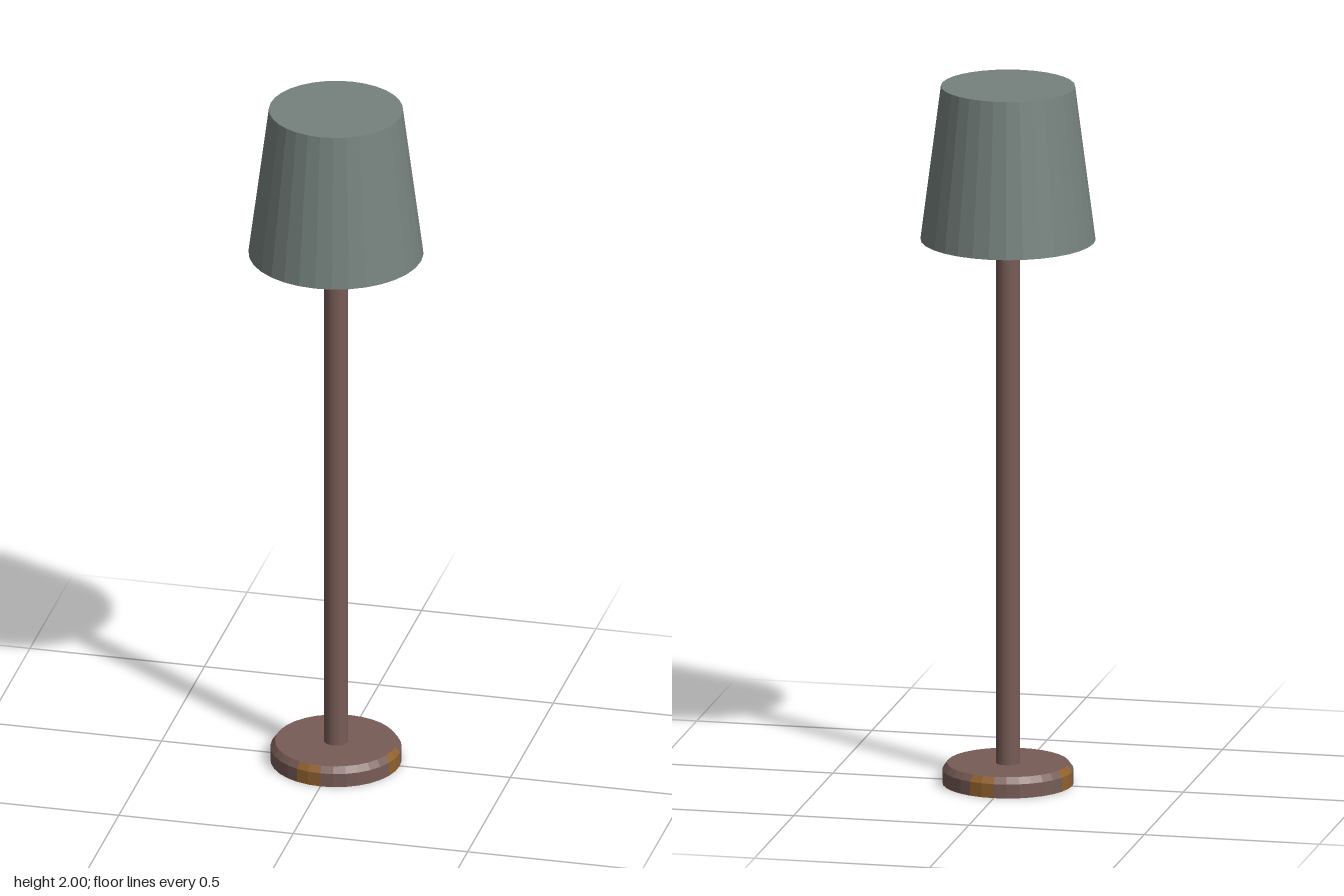
import * as THREE from 'three';

const SIDES = 32;

const material = (name, color) => {
  const m = new THREE.MeshStandardMaterial({ color, flatShading: true });
  m.name = name;
  return m;
};

// Lathe over a profile of [radius, height] pairs, optionally only a few facets
function turned(name, profile, mat, firstFacet = 0, facets = SIDES) {
  const step = (Math.PI * 2) / SIDES;
  const points = profile.map(([r, y]) => new THREE.Vector2(r, y));
  const mesh = new THREE.Mesh(
    new THREE.LatheGeometry(points, facets, firstFacet * step, facets * step), mat);
  mesh.name = name;
  return mesh;
}

export function createModel() {
  const shadeGrey = material('shade grey', 0x76827e);
  const brown = material('brown', 0x785c56);
  const amber = material('amber', 0x91612f);
  const lamp = new THREE.Group();
  lamp.name = 'floorLamp';

  // Hollow tapered shade with a closed top
  lamp.add(turned('shade', [
    [0, 1.985], [0.176, 1.985], [0.232, 1.56], [0.244, 1.56], [0.187, 2], [0, 2],
  ], shadeGrey));

  // Pole reaching up inside the shade
  lamp.add(turned('pole', [[0.034, 0.055], [0.034, 1.985]], brown));

  // Round base: underside, top, and a bevelled edge with four amber inlays
  const base = new THREE.Group();
  base.name = 'base';
  base.add(turned('baseUnderside', [[0, 0], [0.183, 0]], brown));
  base.add(turned('baseTop', [[0.17, 0.058], [0, 0.058]], brown));
  const edge = [[0.183, 0], [0.183, 0.04], [0.17, 0.058]];
  for (let q = 0; q < 4; q++) {
    base.add(turned('baseEdge', edge, brown, q * 8, 6));
    base.add(turned('baseInlay', edge, amber, q * 8 + 6, 2));
  }
  lamp.add(base);

  return lamp;
}
